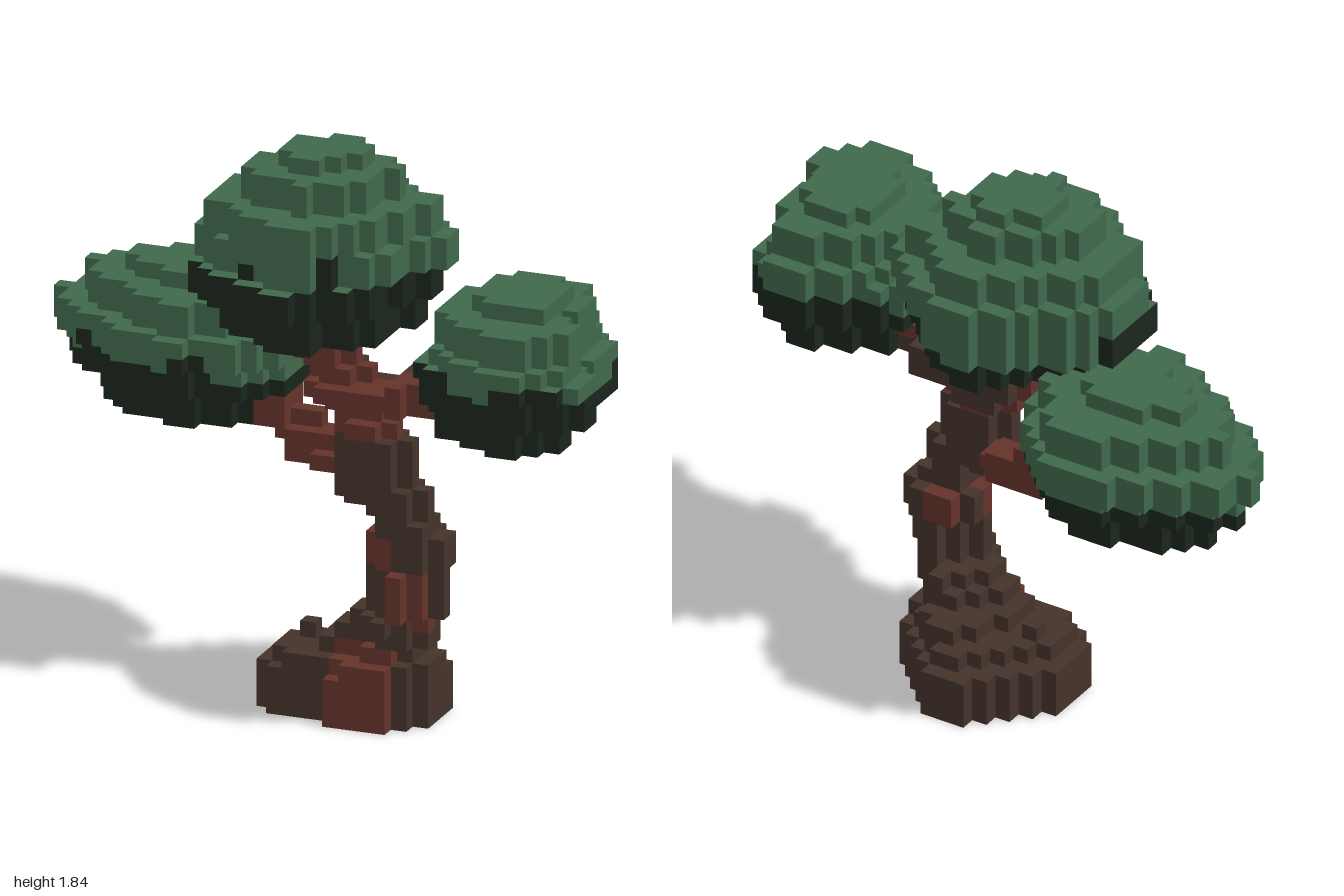
import * as THREE from 'three';

// Block grid: 38 x 35 x 19 cells
const S = 2 / 38;
const mat = (name, color) => {
  const m = new THREE.MeshStandardMaterial({ color });
  m.name = name;
  return m;
};

// Widest outline of each rounded part, as [start, end) block runs per row from back to front
const RIGHT_ROWS = [[7, 12], [5, 13], [3, 14], [1, 15], [1, 15], [0, 16], [1, 16], [1, 16], [2, 16], [3, 16], [5, 15], [6, 14], [9, 11]];
const MID_ROWS = [[18, 21], [16, 23], [15, 24], [13, 25], [12, 26], [11, 26], [11, 25], [11, 25], [11, 24], [11, 24], [12, 24], [13, 23], [15, 21], [17, 20]];
const LEFT_ROWS = [[32, 35], [30, 36], [28, 37], [27, 37], [27, 37], [27, 37], [27, 36], [27, 37], [27, 38], [27, 38], [28, 38], [30, 37], [32, 35]];
const ROOT_ROWS = [[19, 22], [18, 23], [17, 24], [16, 25], [15, 26], [15, 26], [15, 26], [15, 26], [16, 25], [20, 24]];

// Layers: [y0, y1, x0, x1, z0, z1] in blocks; edge gives the height where dark leaves end
const CROWNS = [
  { name: 'rightCrown', rows: RIGHT_ROWS, back: 0, span: [0, 16],
    edge: (i, k) => (i > 11 || i < 3 || k < 6 ? 20 : i > 9 ? 22 : 21),
    layers: [[17, 19, 3, 14, 2, 11], [19, 21, 1, 16, 1, 12], [21, 23, 0, 16, 0, 13], [23, 25, 2, 15, 1, 12], [25, 26, 5, 12, 4, 9]] },
  { name: 'middleCrown', rows: MID_ROWS, back: 2, span: [11, 26],
    edge: (i, k) => (k > 11 && i === 20 ? 30 : k > 11 && i === 15 ? 29 : k > 6 || (i > 21 && k > 3) ? 28 : i > 21 ? 27 : 26),
    layers: [[24, 26, 13, 24, 3, 15], [26, 28, 11, 25, 2, 16], [28, 30, 11, 26, 2, 15], [30, 32, 12, 25, 3, 15], [32, 34, 14, 23, 5, 13], [34, 35, 16, 21, 6, 11]] },
  { name: 'leftCrown', rows: LEFT_ROWS, back: 6, span: [27, 38],
    edge: (i, k) => (k > 13 && (i < 30 || i > 32) && i < 37 ? 25 : k > 12 || k < 9 ? 24 : 23),
    layers: [[20, 22, 28, 36, 7, 17], [22, 24, 27, 38, 6, 18], [24, 25, 27, 38, 6, 19], [25, 26, 28, 37, 6, 19], [26, 28, 28, 37, 7, 18], [28, 29, 30, 35, 9, 15]] },
];
const ROOTS = [[0, 3, 15, 26, 3, 13], [3, 4, 16, 26, 4, 13], [4, 5, 19, 25, 5, 12], [5, 6, 20, 26, 7, 12]];
const LOWER_TRUNK = [[6, 7, 21, 26, 7, 13], [7, 10, 22, 27, 8, 13], [10, 12, 22, 27, 8, 12]];
const UPPER_TRUNK = [
  [12, 13, 23, 26, 9, 12], [13, 14, 22, 26, 9, 12], [14, 15, 20, 26, 9, 12], [15, 18, 20, 25, 9, 12], [18, 19, 20, 24, 9, 12],
  [19, 20, 19, 24, 8, 11], [20, 21, 18, 24, 8, 12], [21, 22, 18, 22, 8, 11], [22, 25, 17, 21, 8, 11],
];
const RIGHT_BRANCH = [[15, 16, 18, 21, 8, 10], [15, 17, 16, 20, 7, 9], [16, 18, 15, 18, 7, 8], [17, 19, 14, 16, 6, 9]];
const LEFT_BRANCH = [[20, 21, 23, 24, 8, 12], [20, 22, 24, 26, 8, 12], [20, 22, 24, 25, 12, 13], [20, 22, 26, 29, 10, 12]];
const BUMPS = [[4, 5, 17, 18, 8, 9], [3, 5, 24, 25, 10, 11], [2, 4, 21, 22, 4, 5], [3, 4, 18, 19, 6, 7]];
// Boxes of reddish bark and of stray dark leaves
const RED_BARK = [
  [0, 1, 20, 24, 9, 13], [0, 5, 20, 24, 10, 13], [6, 7, 25, 26, 10, 12], [7, 10, 24, 27, 11, 13], [10, 12, 22, 24, 10, 12],
  [10, 12, 23, 25, 8, 9], [18, 25, 16, 24, 9, 13], [20, 21, 24, 30, 11, 13], [21, 22, 24, 30, 10, 13],
];
const DARK_LEAVES = [[23, 25, 13, 15, 6, 12], [21, 22, 3, 4, 6, 12]];

const inAny = (boxes, i, j, k) =>
  boxes.some((b) => j >= b[0] && j < b[1] && i >= b[2] && i < b[3] && k >= b[4] && k < b[5]);

export function createModel() {
  const group = new THREE.Group();
  const materials = {
    leaf: mat('leafGreen', 0x40694c),
    shade: mat('deepLeafGreen', 0x1b261d),
    bark: mat('barkBrown', 0x45332b),
    red: mat('redBark', 0x65332b),
  };
  const cells = new Map();
  const key = (i, j, k) => (j * 64 + k) * 64 + i;
  const put = (part, i, j, k, color) => {
    if (!cells.has(key(i, j, k))) cells.set(key(i, j, k), { part, i, j, k, color });
  };
  // Visit each block of a layer, with its centre scaled to 0..1 within the layer
  const fill = (layers, visit) => {
    for (const [y0, y1, x0, x1, z0, z1] of layers)
      for (let j = y0; j < y1; j++)
        for (let k = z0; k < z1; k++)
          for (let i = x0; i < x1; i++)
            visit(i, j, k, (i + 0.5 - x0) / (x1 - x0), (k + 0.5 - z0) / (z1 - z0));
  };
  // Is the scaled point inside an outline?
  const inOutline = (rows, [s0, s1], u, v) => {
    const [a, b] = rows[Math.floor(v * rows.length)];
    const x = s0 + u * (s1 - s0);
    return x >= a && x <= b;
  };

  // Leaf crowns: the outline fitted into each layer, never wider than the outline itself
  for (const { name, rows, back, span, edge, layers } of CROWNS)
    fill(layers, (i, j, k, u, v) => {
      const [a, b] = rows[k - back];
      if (i < a || i >= b || !inOutline(rows, span, u, v)) return;
      put(name, i, j, k, j < edge(i, k) || inAny(DARK_LEAVES, i, j, k) ? 'shade' : 'leaf');
    });

  // Bark: outlined roots, rounded trunk, plain boxes for the branches
  const barkPart = (name, layers, keep, allRed) =>
    fill(layers, (i, j, k, u, v) => {
      if (keep(u, v)) put(name, i, j, k, allRed || inAny(RED_BARK, i, j, k) ? 'red' : 'bark');
    });
  const whole = () => true;
  const rounded = (power) => (u, v) => Math.abs(2 * u - 1) ** power + Math.abs(2 * v - 1) ** power <= 1;
  barkPart('roots', ROOTS, (u, v) => inOutline(ROOT_ROWS, [15, 26], u, v));
  barkPart('roots', BUMPS, whole);
  barkPart('trunk', LOWER_TRUNK, rounded(1.4));
  barkPart('trunk', UPPER_TRUNK, rounded(2));
  barkPart('rightBranch', RIGHT_BRANCH, whole, true);
  barkPart('leftBranch', LEFT_BRANCH, whole);

  // Exposed block faces, gathered per part and colour; leaf tops are always light
  const meshes = new Map();
  for (const { part, i, j, k, color } of cells.values())
    for (let axis = 0; axis < 3; axis++)
      for (const sign of [-1, 1]) {
        const n = [0, 0, 0];
        n[axis] = sign;
        if (cells.has(key(i + n[0], j + n[1], k + n[2])) && j + n[1] >= 0) continue;
        const tint = color === 'shade' && n[1] > 0 ? 'leaf' : color;
        const id = part + tint;
        if (!meshes.has(id)) meshes.set(id, { part, tint, pos: [], nor: [] });
        const { pos, nor } = meshes.get(id);
        const corner = (a, b) => {
          const p = [i, j, k];
          p[axis] += sign > 0 ? 1 : 0;
          p[(axis + 1) % 3] += a;
          p[(axis + 2) % 3] += b;
          return [p[0] * S - 1, p[1] * S, p[2] * S - 0.5];
        };
        const quad = [corner(0, 0), corner(1, 0), corner(1, 1), corner(0, 1)];
        if (sign < 0) quad.reverse();
        for (const q of [0, 1, 2, 0, 2, 3]) {
          pos.push(...quad[q]);
          nor.push(...n);
        }
      }
  for (const { part, tint, pos, nor } of meshes.values()) {
    const geo = new THREE.BufferGeometry();
    geo.setAttribute('position', new THREE.Float32BufferAttribute(pos, 3));
    geo.setAttribute('normal', new THREE.Float32BufferAttribute(nor, 3));
    const mesh = new THREE.Mesh(geo, materials[tint]);
    mesh.name = part + { leaf: 'Top', shade: 'Underside', bark: 'Bark', red: 'RedBark' }[tint];
    group.add(mesh);
  }
  return group;
}
